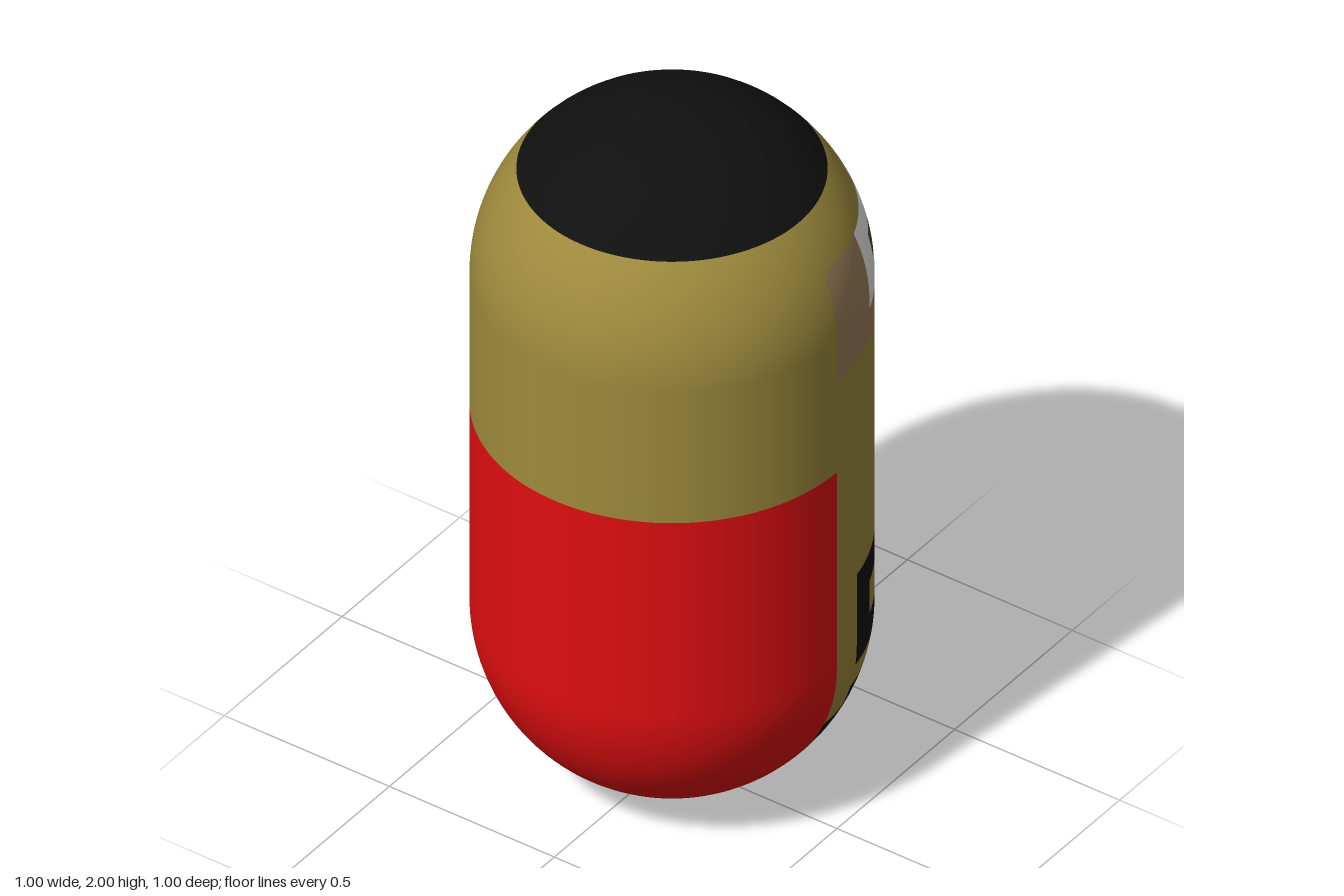
import * as THREE from 'three';

const R = 0.5, COLS = 32, SUB = 4, HALF = Math.PI * R / 2;

// Heights where paint may change, from the bottom pole to the top pole
const rows = [0, 0.024, 0.05, 0.086, 0.13, 0.182, 0.24, 0.305, 0.37, 0.44, 0.53, 0.63, 0.72,
  0.81, 0.905, 1, 1.1, 1.19, 1.28, 1.38, 1.47, 1.56, 1.625, 1.695, 1.82, 2];

const colors = {
  skin: 0x9e8a3c, red: 0xdf0e10, black: 0x101010, white: 0xf4f4f0, blush: 0x9b7e59,
  olive: 0xaea232, yellow: 0xeee224, orange: 0xee7811, rust: 0xaf5e14, brown: 0x5a4820,
};
const partNames = {
  skin: 'body', red: 'frontPanel', black: 'capAndBlockPattern', white: 'eyeWhites', blush: 'eyePatches',
  olive: 'beakPanel', yellow: 'yellowBand', orange: 'orangeBands', rust: 'rustBands', brown: 'pupilsAndStripe',
};

// Painted blocks: colour, first column, end column, bottom, top (later ones win).
// Columns run from +x (0) across the back to -x (16), then across the front.
const paint = [
  ['red', 16, 32, 0, 1.1],
  ['black', 0, 32, 1.82, 2],
  ['olive', 4, 8, 1.1, 1.38],
  // smile
  ['black', 6, 7, 1.28, 1.38], ['black', 7, 9, 1.19, 1.28], ['black', 9, 10, 1.28, 1.38],
  // banded chest
  ['yellow', 4, 9, 1, 1.1], ['brown', 9, 11, 1, 1.1],
  ['orange', 4, 8, 0.905, 1], ['rust', 8, 9, 0.905, 1],
  ['rust', 4, 8, 0.81, 0.905], ['orange', 8, 9, 0.81, 0.905],
  ['orange', 4, 8, 0.72, 0.81], ['rust', 8, 9, 0.72, 0.81],
  ['rust', 4, 5, 0.63, 0.72],
  // winding block pattern, first side
  ['black', 0, 16, 0.24, 0.305],
  ['black', 1, 4, 0.63, 0.72], ['black', 1, 2, 0.53, 0.63], ['black', 1, 4, 0.44, 0.53],
  ['black', 3, 4, 0.37, 0.44], ['black', 1, 4, 0.305, 0.37],
  ['black', 5, 8, 0.63, 0.72], ['black', 5, 6, 0.305, 0.63],
  ['black', 6, 8, 0.37, 0.44], ['black', 7, 8, 0.44, 0.63],
  // second side
  ['black', 9, 10, 0.305, 0.72], ['black', 13, 14, 0.305, 0.72],
  ['black', 10, 11, 0.53, 0.63], ['black', 12, 13, 0.53, 0.63], ['black', 11, 12, 0.44, 0.53],
  // underside marks
  ['black', 4, 7, 0.086, 0.13], ['black', 8, 9, 0.024, 0.24],
  ['black', 9, 11, 0.13, 0.182], ['black', 4, 9, 0.0, 0.024],
];
// The two eyes mirror each other
const eye = [['blush', 0, 4, 1.38, 1.695], ['white', 2, 5, 1.47, 1.695], ['brown', 3, 4, 1.56, 1.625]];
for (const [c, a, b, lo, hi] of eye) paint.push([c, a, b, lo, hi], [c, 16 - b, 16 - a, lo, hi]);
// keep the centre of the underside clear
paint.push(['skin', 0, 16, 0, 0.008]);
rows.splice(1, 0, 0.008);

// Arc length along the capsule side for a height
function arcOf(y) {
  if (y < R) return -R * Math.asin((R - y) / R);
  if (y > 1.5) return 1 + R * Math.asin(Math.min(1, (y - 1.5) / R));
  return y - R;
}

// Surface point and normal for an angle and arc length
function surface(phi, t) {
  const lat = t < 0 ? t / R : t > 1 ? (t - 1) / R : 0;
  const n = [Math.cos(lat) * Math.cos(phi), Math.sin(lat), -Math.cos(lat) * Math.sin(phi)];
  const mid = R + Math.min(1, Math.max(0, t));
  return { p: [n[0] * R, mid + n[1] * R, n[2] * R], n };
}

function colorAt(col, y) {
  let found = 'skin';
  for (const [c, a, b, lo, hi] of paint) if (col >= a && col < b && y > lo && y < hi) found = c;
  return found;
}

export function createModel() {
  const group = new THREE.Group();
  group.name = 'capsuleFigure';
  const data = {};
  for (const c in colors) data[c] = { pos: [], nor: [] };

  // Lay out the capsule skin cell by cell, sorting cells by colour
  for (let r = 0; r < rows.length - 1; r++) {
    const t0 = r === 0 ? -HALF : arcOf(rows[r]), t1 = arcOf(rows[r + 1]);
    const steps = Math.max(1, Math.ceil((t1 - t0) / 0.035));
    for (let col = 0; col < COLS; col++) {
      const d = data[colorAt(col, (rows[r] + rows[r + 1]) / 2)];
      for (let i = 0; i < steps; i++) {
        for (let j = 0; j < SUB; j++) {
          const a0 = (col + j / SUB) / COLS * Math.PI * 2, a1 = (col + (j + 1) / SUB) / COLS * Math.PI * 2;
          const lo = t0 + (t1 - t0) * i / steps, hi = t0 + (t1 - t0) * (i + 1) / steps;
          const q = [surface(a0, lo), surface(a1, lo), surface(a1, hi), surface(a0, hi)];
          for (const k of [0, 1, 2, 0, 2, 3]) {
            d.pos.push(...q[k].p);
            d.nor.push(...q[k].n);
          }
        }
      }
    }
  }

  for (const c in colors) {
    const geo = new THREE.BufferGeometry();
    geo.setAttribute('position', new THREE.Float32BufferAttribute(data[c].pos, 3));
    geo.setAttribute('normal', new THREE.Float32BufferAttribute(data[c].nor, 3));
    const mat = new THREE.MeshStandardMaterial({ color: colors[c] });
    mat.name = c;
    const mesh = new THREE.Mesh(geo, mat);
    mesh.name = partNames[c];
    group.add(mesh);
  }
  return group;
}
